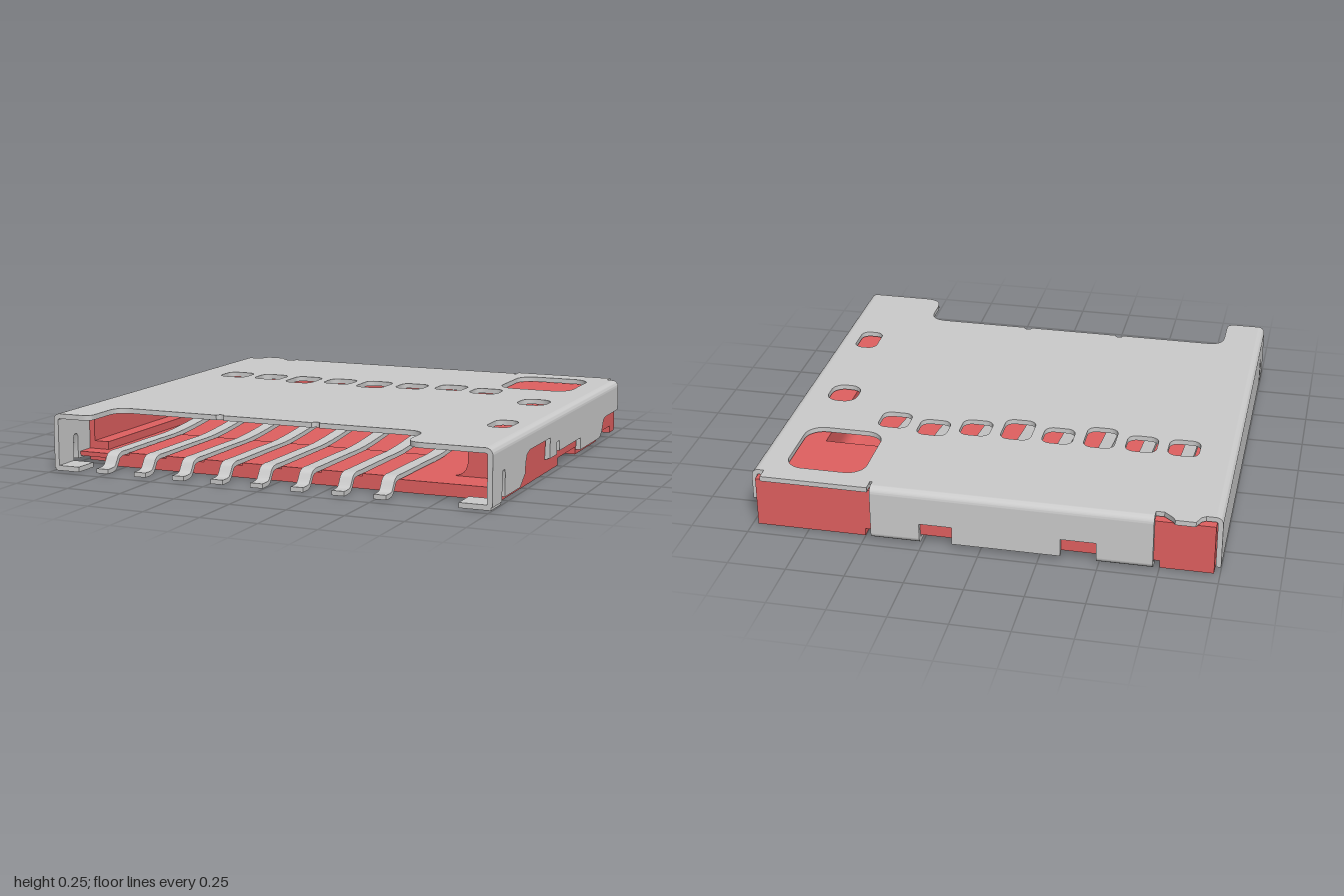
import * as THREE from 'three';
import { toCreasedNormals } from 'three/addons/utils/BufferGeometryUtils.js';

export function createModel() {
  const model = new THREE.Group();
  const steel = new THREE.MeshStandardMaterial({ color: 0xcccccc });
  const plastic = new THREE.MeshStandardMaterial({ color: 0xe06060 });
  const T = 0.022; // sheet thickness

  const poly = (pts) => new THREE.Shape(pts.map(([a, b]) => new THREE.Vector2(a, b)));
  const extrude = (shape, depth) => new THREE.ExtrudeGeometry(shape, { depth, bevelEnabled: false, curveSegments: 8 });
  const add = (name, geo, mat) => {
    const m = new THREE.Mesh(toCreasedNormals(geo, 0.6), mat);
    m.name = name;
    model.add(m);
    return m;
  };
  // Extrusions of a plan (x,z), a side profile (z,y) or a front profile (x,y)
  const plan = (name, shape, y0, y1, mat) =>
    add(name, extrude(shape, y1 - y0).rotateX(Math.PI / 2).translate(0, y1, 0), mat);
  const side = (name, shape, x0, x1, mat) =>
    add(name, extrude(shape, x1 - x0).rotateY(-Math.PI / 2).translate(x1, 0, 0), mat);
  const front = (name, shape, z0, z1, mat) =>
    add(name, extrude(shape, z1 - z0).translate(0, 0, z0), mat);
  const box = (name, x0, x1, y0, y1, z0, z1, mat) =>
    plan(name, poly([[x0, z0], [x1, z0], [x1, z1], [x0, z1]]), y0, y1, mat);

  // Rounded rectangle used for the openings
  const roundRect = (x0, x1, z0, z1, r) => {
    const p = new THREE.Path();
    p.absarc(x1 - r, z1 - r, r, 0, Math.PI / 2);
    p.absarc(x0 + r, z1 - r, r, Math.PI / 2, Math.PI);
    p.absarc(x0 + r, z0 + r, r, Math.PI, Math.PI * 1.5);
    p.absarc(x1 - r, z0 + r, r, Math.PI * 1.5, Math.PI * 2);
    p.closePath();
    return p;
  };
  // Sheet bend: a quarter ring
  const bend = (cx, cy, from) => {
    const s = new THREE.Shape();
    s.absarc(cx, cy, 0.03, from, from + Math.PI / 2, false);
    s.absarc(cx, cy, 0.03 - T, from + Math.PI / 2, from, true);
    return s;
  };
  // Ribbon of sheet following a smooth (z,y) path
  const ribbon = (pts, samples, t) => {
    const curve = new THREE.CatmullRomCurve3(pts.map(([z, y]) => new THREE.Vector3(z, y, 0)), false, 'centripetal');
    const a = [], b = [];
    for (let i = 0; i <= samples; i++) {
      const p = curve.getPoint(i / samples), d = curve.getTangent(i / samples);
      a.push([p.x - d.y * t / 2, p.y + d.x * t / 2]);
      b.unshift([p.x + d.y * t / 2, p.y - d.x * t / 2]);
    }
    return poly([...a, ...b]);
  };

  const contactX = Array.from({ length: 8 }, (_, i) => -0.77 + i * 0.1843);

  // Top cover with front cut-out and back edge notches
  const top = new THREE.Shape();
  top.moveTo(-0.97, 0.95);
  top.lineTo(-0.86, 0.95);
  top.quadraticCurveTo(-0.82, 0.95, -0.82, 0.91);
  top.lineTo(-0.82, 0.79);
  top.quadraticCurveTo(-0.82, 0.715, -0.745, 0.715);
  for (const x of [-0.315, 0.135]) {
    top.lineTo(x - 0.018, 0.715);
    top.absarc(x, 0.715, 0.018, Math.PI, Math.PI * 2, false);
  }
  top.lineTo(0.55, 0.715);
  top.quadraticCurveTo(0.63, 0.715, 0.63, 0.79);
  top.lineTo(0.63, 0.87);
  top.quadraticCurveTo(0.63, 0.95, 0.71, 0.95);
  for (const [x, z] of [[0.97, 0.95], [0.97, -0.9], [0.945, -0.9], [0.945, -0.955], [0.48, -0.955], [0.48, -0.9],
    [0.47, -0.9], [0.47, -0.925], [-0.725, -0.925], [-0.725, -0.9], [-0.76, -0.9], [-0.8, -0.935],
    [-0.81, -0.955], [-0.895, -0.955], [-0.91, -0.915], [-0.93, -0.9], [-0.97, -0.9]]) top.lineTo(x, z);
  contactX.forEach((x, i) => {
    const z0 = i === 6 ? -0.455 : -0.42;
    const z1 = i === 6 ? -0.315 : (i === 2 || i === 4) ? -0.24 : -0.28;
    top.holes.push(roundRect(x - 0.068, x + 0.068, z0, z1, 0.04));
  });
  top.holes.push(roundRect(0.53, 0.875, -0.85, -0.48, 0.08));
  top.holes.push(roundRect(0.75, 0.885, -0.22, -0.065, 0.055));
  top.holes.push(roundRect(0.812, 0.915, 0.34, 0.51, 0.04));
  plan('topCover', top, 0.25 - T, 0.25, steel);
  front('leftCoverBend', bend(0.97, 0.22, 0), -0.9, 0.95, steel);
  front('rightCoverBend', bend(-0.97, 0.22, Math.PI / 2), -0.9, 0.95, steel);
  side('backCoverBend', bend(-0.925, 0.22, Math.PI / 2), -0.725, 0.47, steel);

  // Side walls, with a slit behind each front foot
  const slit = [[0.795, 0.025], [0.795, 0.125], [0.803, 0.138], [0.822, 0.138], [0.83, 0.125], [0.83, 0.012]];
  side('leftWall', poly([[0.95, 0.22], [-0.9, 0.22], [-0.9, 0.11], [-0.68, 0.11], [-0.65, 0.1], [-0.625, 0.05],
    [-0.59, 0.025], [-0.27, 0.025], [-0.27, 0.08], [0.06, 0.08], [0.06, 0.125], [0.095, 0.125], [0.095, 0.07],
    [0.195, 0.07], [0.195, 0.16], [0.48, 0.16], [0.515, 0.145], [0.53, 0.115], [0.535, 0.07], [0.6, 0.025],
    ...slit, [0.95, 0.012]]), 1 - T, 1, steel);
  side('rightWall', poly([[0.95, 0.22], [-0.9, 0.22], [-0.9, 0.015], ...slit, [0.95, 0.012]]), -1, -1 + T, steel);
  box('leftFoot', 0.86, 0.995, 0, T, 0.83, 0.95, steel);
  box('rightFoot', -0.995, -0.88, 0, T, 0.83, 0.95, steel);
  box('sideLatch', 0.95, 0.99, 0.065, 0.08, 0.095, 0.195, steel);

  // Back wall with two notches and folded hooks
  front('backWall', poly([[-0.725, 0.22], [-0.725, 0.03], [-0.49, 0.03], [-0.49, 0.1], [-0.34, 0.1], [-0.34, 0.02],
    [0.12, 0.02], [0.12, 0.1], [0.26, 0.1], [0.26, 0.03], [0.47, 0.03], [0.47, 0.22]]), -0.955, -0.955 + T, steel);
  for (const [x0, x1] of [[-0.725, -0.49], [0.26, 0.47]])
    side('backHook', ribbon([[-0.944, 0.04], [-0.942, 0.025], [-0.925, 0.012], [-0.9, 0.011], [-0.8, 0.011]], 14, T),
      x0, x1, steel);

  // Plastic base: stepped underside with a wide recess open to the back
  plan('baseUnderside', poly([[-0.85, 0.78], [0.975, 0.78], [0.975, 0], [0.85, 0], [0.85, -0.27], [0.975, -0.27],
    [0.975, -0.62], [0.8, -0.62], [0.8, -0.85], [0.975, -0.85], [0.975, -0.93], [0.5, -0.93], [0.5, -0.86],
    [0.64, -0.86], [0.64, 0.13], [-0.87, 0.13], [-0.87, -0.86], [-0.75, -0.86], [-0.75, -0.93],
    [-0.975, -0.93], [-0.975, 0.7], [-0.85, 0.7]]), 0.002, 0.035, plastic);
  box('baseFloor', -0.975, 0.975, 0.035, 0.055, -0.93, 0.78, plastic);
  // Raised ribs between the contacts at the front
  for (let i = 0; i < 7; i++)
    box('frontRib', contactX[i] + 0.04, contactX[i + 1] - 0.04, 0.055, 0.066, 0.3, 0.78, plastic);

  // Plastic walls around the card cavity
  box('backBlock', -0.975, 0.975, 0.055, 0.222, -0.93, -0.55, plastic);
  const guide = new THREE.Shape();
  guide.moveTo(0.975, 0.222);
  guide.lineTo(0.78, 0.222);
  guide.lineTo(0.78, 0.125);
  guide.quadraticCurveTo(0.78, 0.055, 0.71, 0.055);
  guide.lineTo(0.975, 0.055);
  front('leftGuide', guide, -0.55, 0.62, plastic);
  front('rightGuide', poly([[-0.975, 0.055], [-0.88, 0.055], [-0.88, 0.09], [-0.95, 0.09], [-0.95, 0.222],
    [-0.975, 0.222]]), -0.55, 0.7, plastic);

  // Spring contacts: solder foot, S-bend, flat run and raised tip
  const path = [[0.94, 0.011], [0.9, 0.011], [0.875, 0.016], [0.858, 0.035], [0.84, 0.06], [0.815, 0.068], [0.76, 0.068],
    [0.5, 0.068], [0.3, 0.068], [-0.05, 0.1], [-0.25, 0.135], [-0.31, 0.14], [-0.35, 0.13], [-0.385, 0.1]];
  for (const x of contactX)
    side('contact', ribbon(path, 60, 0.02), x - 0.028, x + 0.028, steel);

  return model;
}
